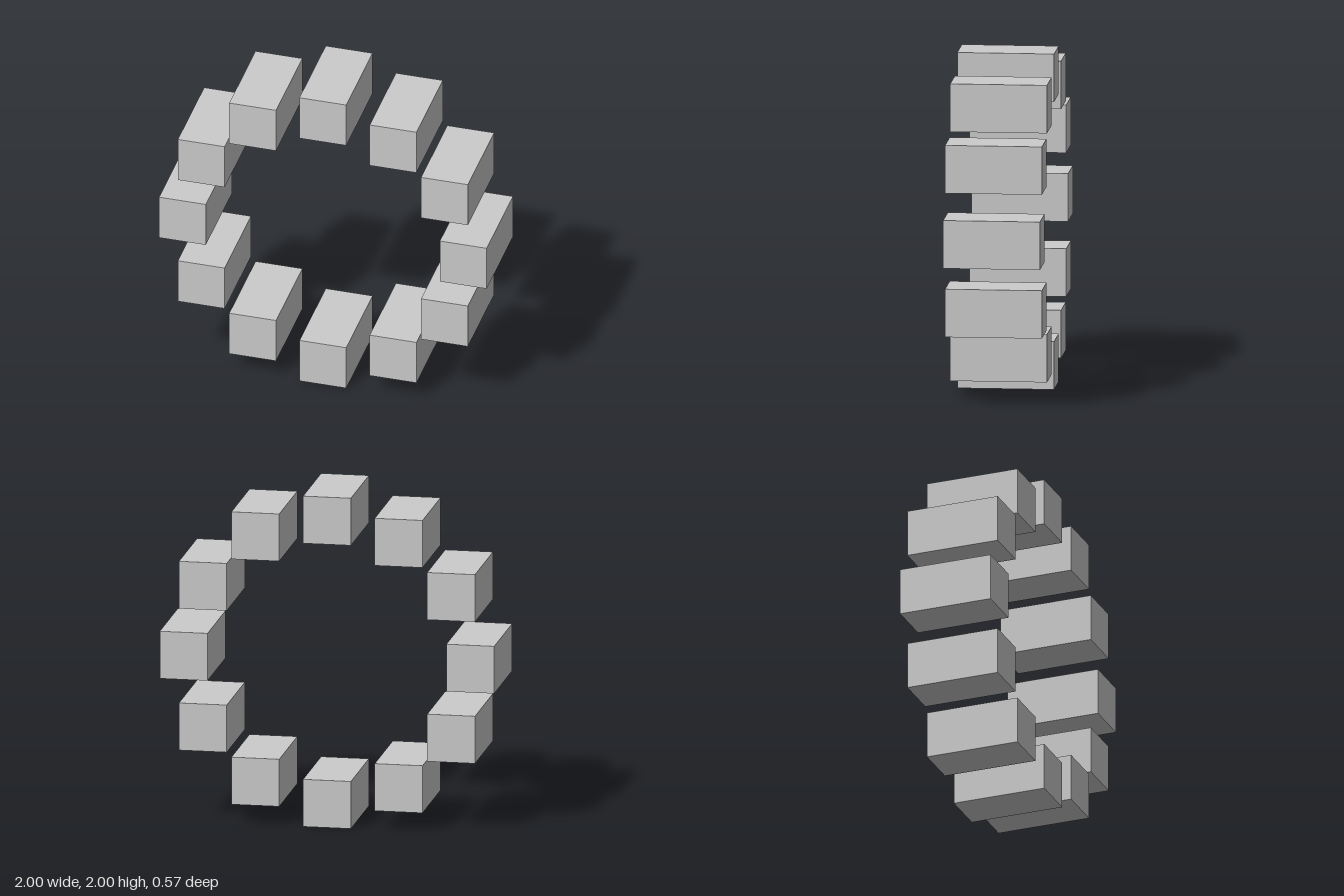
import * as THREE from 'three';

// Ring of twelve upright, axis-aligned blocks
export function createModel() {
  const group = new THREE.Group();
  group.name = 'blockRing';

  const count = 12;
  const size = 2 / 7;          // block width and height
  const depth = 2 * size;      // block length along z
  const radius = 1 - size / 2; // ring radius to block centres

  const geometry = new THREE.BoxGeometry(size, size, depth);
  const material = new THREE.MeshStandardMaterial({ color: 0xcccccc, flatShading: true });

  for (let i = 0; i < count; i++) {
    const angle = (i / count) * Math.PI * 2;
    const block = new THREE.Mesh(geometry, material);
    block.name = `block${i + 1}`;
    block.position.set(Math.cos(angle) * radius, 1 + Math.sin(angle) * radius, 0);
    group.add(block);
  }
  return group;
}
